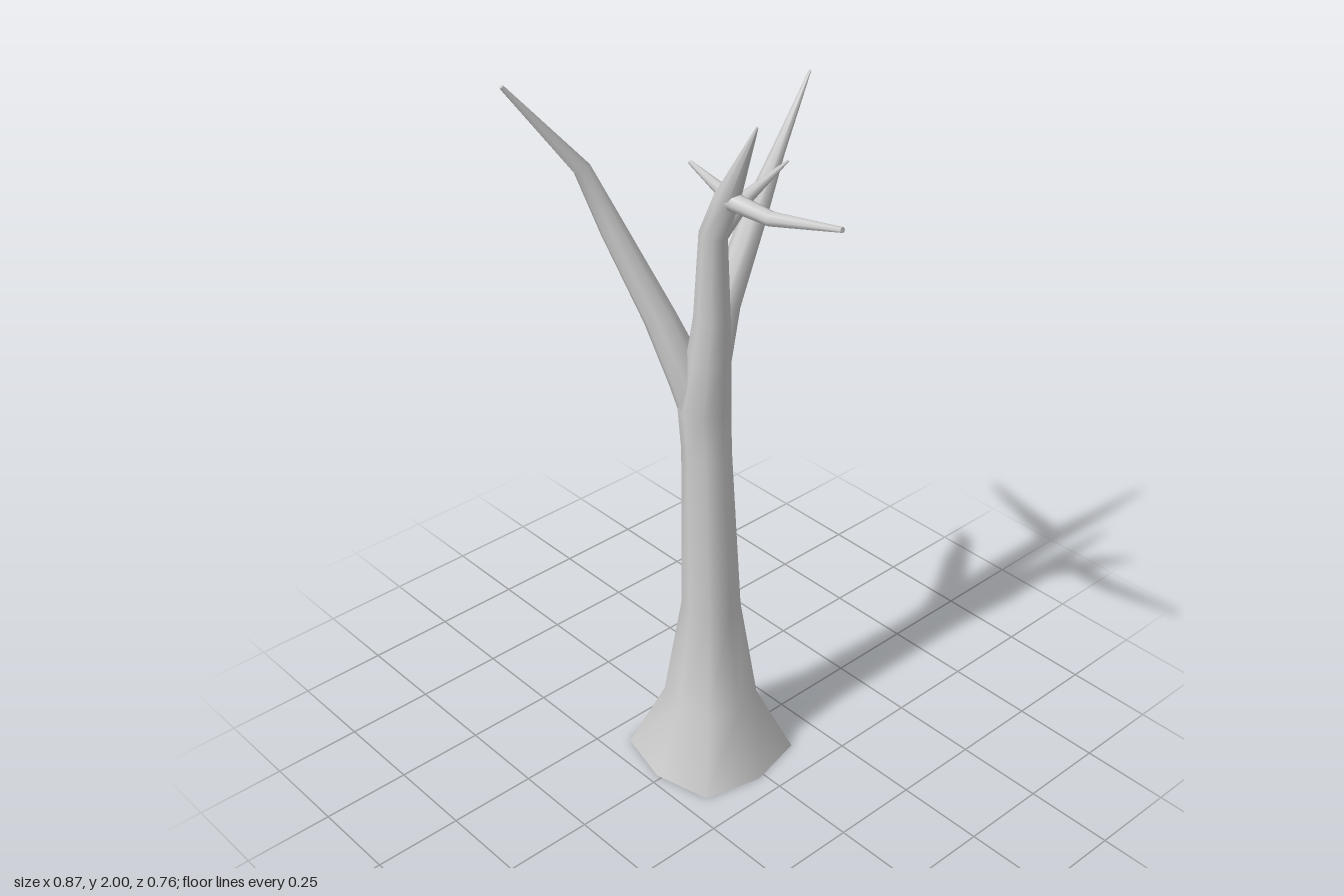
import * as THREE from 'three';

const bark = new THREE.MeshStandardMaterial({ color: 0xcccccc });
const Z = new THREE.Vector3(0, 0, 1);

// Tapered limb through stations [x, y, z, radius, cornerFactor], closed at both ends
function limb(name, stations, sides = 8) {
  const points = stations.map(([x, y, z]) => new THREE.Vector3(x, y, z));
  const last = points.length - 1;
  const pos = [], index = [];

  const addRing = (i) => {
    const start = pos.length / 3;
    const t = new THREE.Vector3();
    if (i > 0) t.add(points[i].clone().sub(points[i - 1]).normalize());
    if (i < last) t.add(points[i + 1].clone().sub(points[i]).normalize());
    t.normalize();
    const u = new THREE.Vector3().crossVectors(t, Z).normalize();
    const v = new THREE.Vector3().crossVectors(u, t);
    const [, , , radius, corner = 1] = stations[i];
    for (let k = 0; k < sides; k++) {
      const a = (k / sides) * Math.PI * 2;
      const r = radius * (k % 2 ? corner : 1);
      const p = points[i].clone()
        .addScaledVector(u, r * Math.cos(a))
        .addScaledVector(v, r * Math.sin(a));
      pos.push(p.x, p.y, p.z);
    }
    return start;
  };

  // Smooth side wall
  const rings = points.map((_, i) => addRing(i));
  for (let i = 0; i < last; i++) {
    for (let k = 0; k < sides; k++) {
      const n = (k + 1) % sides;
      const a = rings[i] + k, b = rings[i] + n;
      const c = rings[i + 1] + k, d = rings[i + 1] + n;
      index.push(a, c, b, b, c, d);
    }
  }

  // End caps with their own vertices, so their edges stay sharp
  for (const i of [0, last]) {
    const ring = addRing(i);
    const centre = pos.length / 3;
    pos.push(...points[i].toArray());
    for (let k = 0; k < sides; k++) {
      const a = ring + k, b = ring + ((k + 1) % sides);
      if (i === 0) index.push(centre, a, b);
      else index.push(centre, b, a);
    }
  }

  const geo = new THREE.BufferGeometry();
  geo.setAttribute('position', new THREE.Float32BufferAttribute(pos, 3));
  geo.setIndex(index);
  geo.computeVertexNormals();
  const mesh = new THREE.Mesh(geo, bark);
  mesh.name = name;
  return mesh;
}

export function createModel() {
  const tree = new THREE.Group();
  tree.name = 'bareTree';

  tree.add(
    // Flared trunk running up into the bent top spire
    limb('trunk', [
      [-0.015, 0, 0.02, 0.204, 1.14],
      [-0.015, 0.2, 0.02, 0.12, 1.08],
      [-0.01, 0.51, 0.022, 0.078, 1.04],
      [-0.022, 1.0, 0.025, 0.066],
      [-0.03, 1.13, 0.025, 0.07],
      [-0.012, 1.28, 0.025, 0.057],
      [0.0, 1.4, 0.025, 0.047],
      [0.002, 1.63, 0.022, 0.036],
      [0.05, 1.74, 0.021, 0.033],
      [0.15, 1.95, 0.02, 0.003],
    ]),
    // Large forked branches
    limb('frontBranch', [
      [-0.042, 1.1, 0.03, 0.05],
      [-0.062, 1.2, 0.045, 0.055],
      [-0.13, 1.37, 0.084, 0.043],
      [-0.232, 1.6, 0.145, 0.033],
      [-0.28, 1.76, 0.195, 0.023],
      [-0.341, 2.0, 0.375, 0.006],
    ]),
    limb('backBranch', [
      [-0.04, 1.1, 0.015, 0.05],
      [-0.055, 1.2, -0.015, 0.052],
      [-0.075, 1.37, -0.085, 0.043],
      [-0.087, 1.58, -0.2, 0.034],
      [-0.08, 1.73, -0.272, 0.018],
      [-0.08, 1.918, -0.38, 0.003],
    ]),
    // Small side twigs
    limb('rightwardTwig', [
      [-0.085, 1.568, -0.205, 0.036],
      [-0.12, 1.566, -0.217, 0.031],
      [-0.25, 1.565, -0.25, 0.019],
      [-0.435, 1.58, -0.293, 0.006],
    ]),
    limb('leftwardTwig', [
      [0.04, 1.74, 0.021, 0.03],
      [0.09, 1.738, 0.021, 0.023],
      [0.2, 1.738, 0.02, 0.019],
      [0.43, 1.792, 0.02, 0.007],
    ]),
    limb('backwardTwig', [
      [0.002, 1.63, 0.015, 0.034],
      [0.0, 1.665, -0.04, 0.028],
      [0.0, 1.695, -0.1, 0.017],
      [0.0, 1.745, -0.23, 0.003],
    ]),
  );
  return tree;
}
